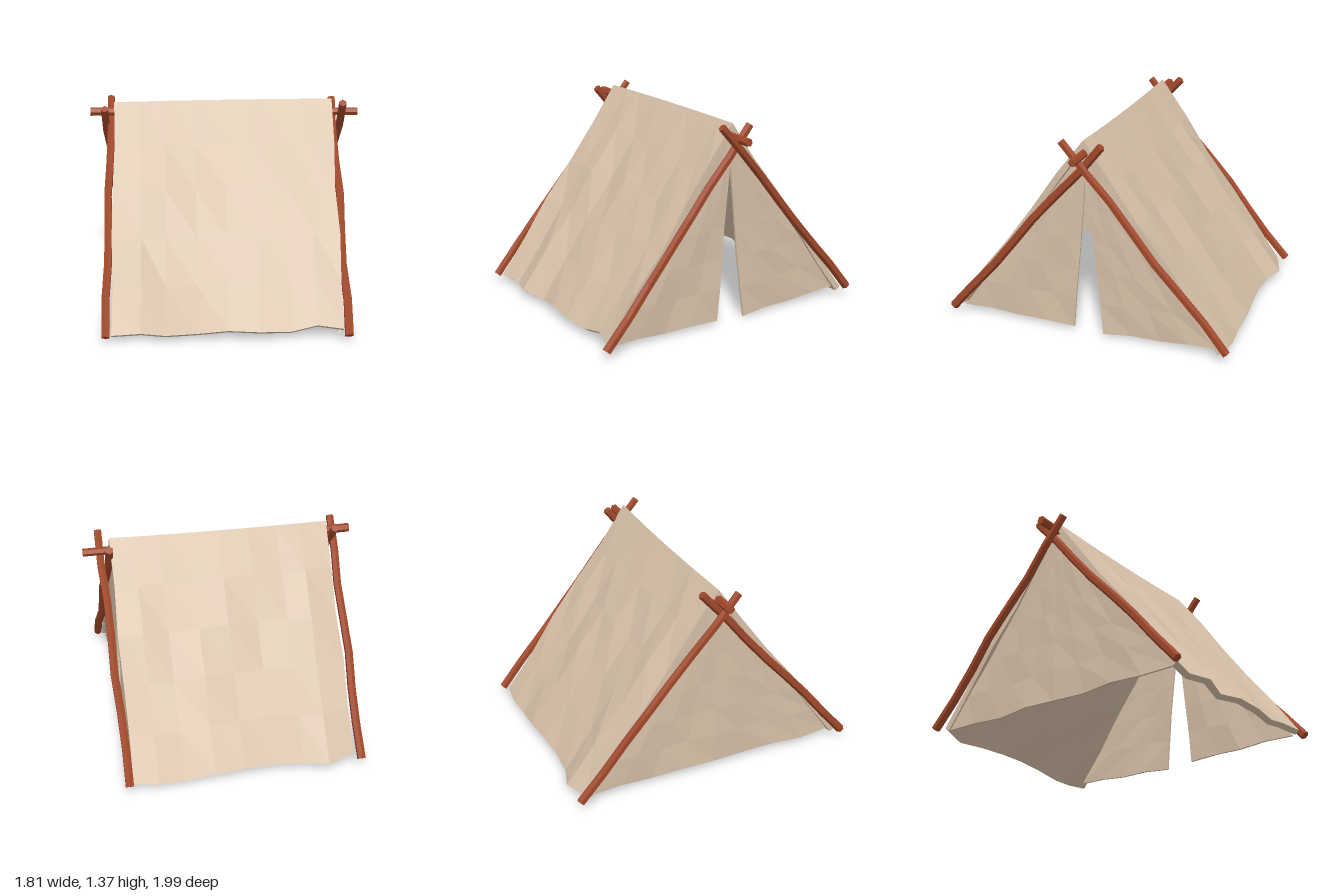
import * as THREE from 'three';

const canvasMat = new THREE.MeshStandardMaterial({ color: 0xd6c0a8, flatShading: true, side: THREE.DoubleSide });
const woodMat = new THREE.MeshStandardMaterial({ color: 0xa0482a, flatShading: true });
const lerp = THREE.MathUtils.lerp;

// Closed sheet with thickness: outer(i, j) and inner(i, j) give the two skins
function slab(name, nu, nv, outer, inner) {
  const pos = [];
  const quad = (a, b, c, d) => [a, b, c, a, c, d].forEach((p) => pos.push(...p));
  for (let i = 0; i < nu; i++) {
    for (let j = 0; j < nv; j++) {
      const corners = [[i, j], [i + 1, j], [i + 1, j + 1], [i, j + 1]];
      const [a, b, c, d] = corners.map((k) => outer(...k));
      const [e, f, g, h] = corners.map((k) => inner(...k));
      quad(a, d, c, b);
      quad(e, f, g, h);
      if (j === 0) quad(a, b, f, e);
      if (j === nv - 1) quad(c, d, h, g);
      if (i === 0) quad(d, a, e, h);
      if (i === nu - 1) quad(b, c, g, f);
    }
  }
  const geo = new THREE.BufferGeometry();
  geo.setAttribute('position', new THREE.Float32BufferAttribute(pos, 3));
  geo.computeVertexNormals();
  const mesh = new THREE.Mesh(geo, canvasMat);
  mesh.name = name;
  return mesh;
}

// Roof sheet: stations along x, with an uneven hem on each side
const xs = [-0.745, -0.56, -0.4, -0.2, 0, 0.2, 0.4, 0.57, 0.735];
const hem = {
  front: {
    z: [0.945, 0.91, 0.955, 0.9, 0.925, 0.935, 0.915, 0.9, 0.935],
    y: [0.06, 0.055, 0.06, 0.045, 0.075, 0.068, 0.06, 0.095, 0.085],
  },
  back: {
    z: [0.92, 0.985, 0.935, 0.925, 0.94, 0.955, 0.945, 0.96, 0.945],
    y: [0.07, 0.05, 0.048, 0.055, 0.065, 0.06, 0.03, 0.04, 0.055],
  },
};
const ROWS = 5; // rows per slope

function roofPoint(i, j, depth) {
  const v = (j - ROWS) / ROWS;
  const t = Math.abs(v);
  const s = Math.sign(v);
  const side = v > 0 ? hem.front : hem.back;
  const ridgeY = lerp(1.34, 1.355, i / 8);
  const ridgeZ = -0.015 * Math.sin((i / 8) * Math.PI);
  // soft folds, with one stronger peak on the front slope
  let out = 0.011 * Math.sin(i * 2.1 + j * 1.7) * Math.sin(t * Math.PI) - depth;
  if (i === 2 && j === ROWS + 2) out += 0.018;
  const edge = i === 0 || i === 8 ? 0.01 * Math.sin(j * 2.3 + i) * Math.sin(t * Math.PI) : 0;
  const x = xs[i] + edge - (i === 8 ? 0.012 * (1 - t) : 0);
  if (t === 0) return [x, ridgeY - depth * 1.25, ridgeZ];
  return [x, lerp(ridgeY, side.y[i], t) + 0.58 * out, lerp(ridgeZ, s * side.z[i], t) + s * 0.81 * out];
}

// End wall piece: za(t) and zb(t) are its side edges from apex (t = 0) to ground
function endWall(name, x, dir, za, zb, footA, footB, nu) {
  const n = 6;
  const point = (i, j, depth) => {
    const t = j / n;
    const u = i / nu;
    const foot = lerp(footA, footB, u) + 0.008 * Math.sin(i * 2.4);
    const fold = 0.01 * Math.sin(i * 1.9 + j * 1.3) * t;
    return [x + dir * (fold - depth), lerp(1.29, foot, t), lerp(za(t), zb(t), u)];
  };
  return slab(name, nu, n, (i, j) => point(i, j, 0), (i, j) => point(i, j, 0.015));
}

// Slightly crooked pole from a to b with six sides
function pole(name, a, b, radius, bend, seed) {
  const A = new THREE.Vector3(...a);
  const B = new THREE.Vector3(...b);
  const length = A.distanceTo(B);
  const geo = new THREE.CylinderGeometry(radius * 0.9, radius, length, 6, 7);
  const p = geo.attributes.position;
  for (let k = 0; k < p.count; k++) {
    const row = Math.round((p.getY(k) / length + 0.5) * 7);
    const w = row === 0 || row === 7 ? 0 : bend;
    p.setX(k, p.getX(k) + w * Math.sin(row * 1.9 + seed));
    p.setZ(k, p.getZ(k) + w * Math.cos(row * 1.4 + seed));
  }
  geo.computeVertexNormals();
  const mesh = new THREE.Mesh(geo, woodMat);
  mesh.name = name;
  mesh.position.copy(A).lerp(B, 0.5);
  mesh.quaternion.setFromUnitVectors(new THREE.Vector3(0, 1, 0), B.sub(A).normalize());
  return mesh;
}

export function createModel() {
  const tent = new THREE.Group();
  tent.name = 'tent';

  tent.add(slab('roofCanvas', 8, ROWS * 2, (i, j) => roofPoint(i, j, 0), (i, j) => roofPoint(i, j, 0.042)));

  // Closed end, and the entrance with two flaps parted along a slit
  const slit = (footZ) => (t) => footZ * Math.max(0, (t - 1 / 6) * 1.2);
  tent.add(
    endWall('closedEnd', -0.725, -1, (t) => -0.9 * t, (t) => 0.9 * t, 0.05, 0.05, 8),
    endWall('frontFlap', 0.705, 1, (t) => 0.9 * t, slit(0.09), 0.045, 0.03, 4),
    endWall('backFlap', 0.705, 1, slit(-0.12), (t) => -0.9 * t, 0.015, 0.06, 4),
  );

  // Crossed end poles and the ridge pole resting in their forks
  tent.add(
    pole('leftFrontPole', [0.765, 0.05, 0.96], [0.735, 1.33, -0.125], 0.03, 0.009, 0.4),
    pole('leftBackPole', [0.762, 0.065, -0.975], [0.785, 1.355, 0.125], 0.03, 0.007, 2.1),
    pole('rightFrontPole', [-0.778, 0.06, 0.97], [-0.772, 1.345, -0.13], 0.029, 0.007, 3.3),
    pole('rightBackPole', [-0.782, 0.06, -0.975], [-0.803, 1.32, 0.11], 0.029, 0.007, 5.0),
    pole('ridgePole', [-0.905, 1.275, 0], [0.9, 1.265, 0], 0.029, 0.003, 1.0),
  );
  return tent;
}
